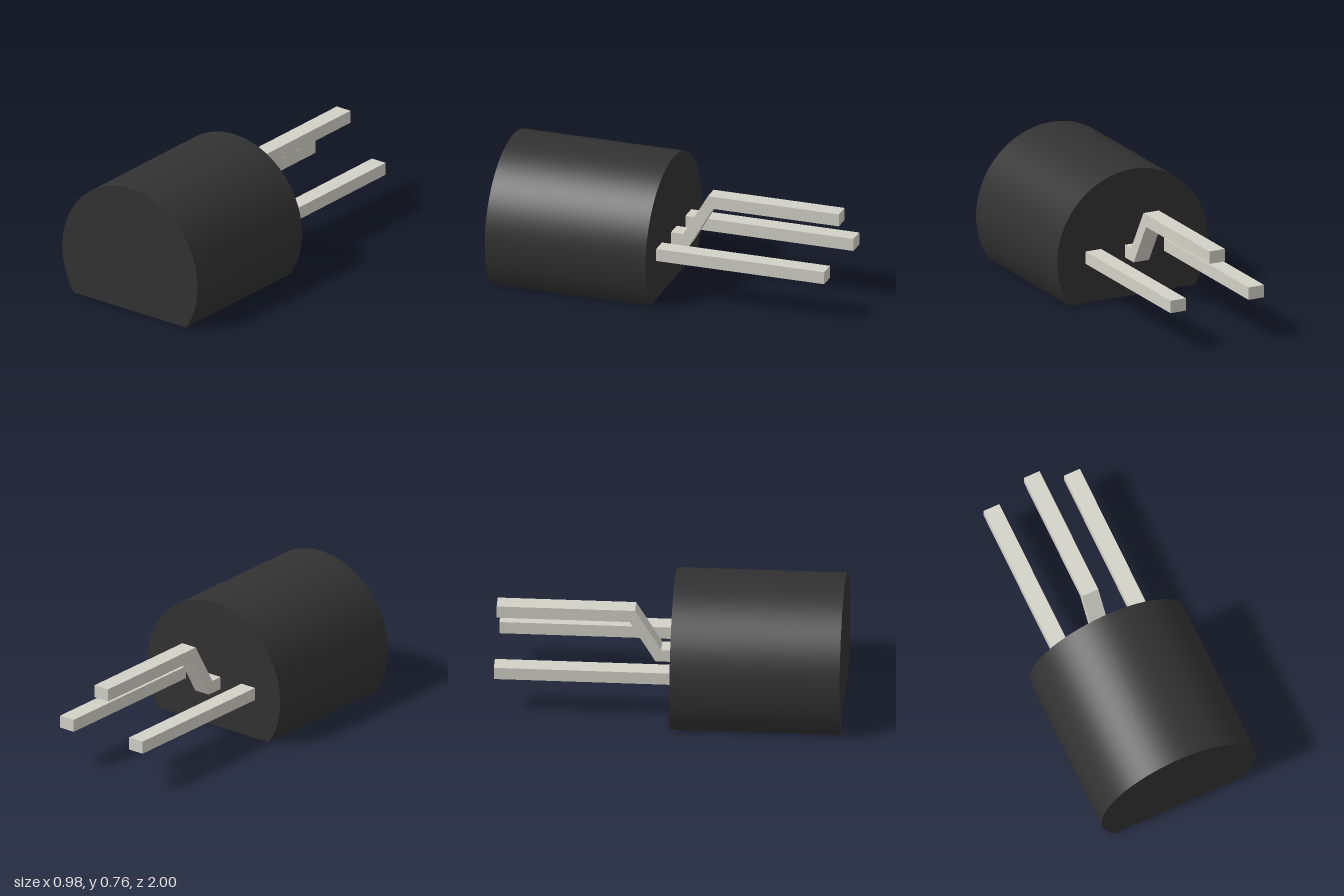
import * as THREE from 'three';

export function createModel() {
  const model = new THREE.Group();
  const plastic = new THREE.MeshStandardMaterial({ color: 0x323232 });
  plastic.name = 'black plastic';
  const metal = new THREE.MeshStandardMaterial({ color: 0xd2d1c7 });
  metal.name = 'lead metal';

  const add = (name, geometry, material) => {
    const mesh = new THREE.Mesh(geometry, material);
    mesh.name = name;
    model.add(mesh);
    return mesh;
  };

  // Body: a cylinder with a flat cut along its underside
  const radius = 0.491, centreY = 0.272, back = 0.022;
  const cut = Math.asin(centreY / radius);
  const outline = new THREE.Shape();
  outline.absarc(0, centreY, radius, -cut, Math.PI + cut, false);
  outline.closePath();
  const body = add('body', new THREE.ExtrudeGeometry(outline, {
    depth: 1 - back, bevelEnabled: false, curveSegments: 64,
  }), plastic);
  body.position.z = back;

  // Smooth the curved wall with radial normals, leaving the flat and caps sharp
  const { position, normal } = body.geometry.attributes;
  for (let i = 0; i < position.count; i++) {
    if (Math.abs(normal.getZ(i)) > 0.5 || normal.getY(i) < -0.95) continue;
    normal.setXYZ(i, position.getX(i) / radius, (position.getY(i) - centreY) / radius, 0);
  }

  // Straight outer leads
  const width = 0.1, bottom = 0.237, top = 0.312;
  for (const [name, side] of [['leftLead', 1], ['rightLead', -1]]) {
    const lead = add(name, new THREE.BoxGeometry(width, top - bottom, 1 + back), metal);
    lead.position.set(side * 0.255, (top + bottom) / 2, (back - 1) / 2);
  }

  // Middle lead: cranked side profile, drawn as (distance behind centre, height)
  const profile = new THREE.Shape([
    [-back, bottom], [0.086, bottom], [0.235, 0.495], [1, 0.495],
    [1, 0.57], [0.203, 0.57], [0.053, top], [-back, top],
  ].map(([d, y]) => new THREE.Vector2(d, y)));
  const crank = new THREE.ExtrudeGeometry(profile, { depth: width, bevelEnabled: false });
  crank.translate(0, 0, -width / 2).rotateY(Math.PI / 2);
  add('middleLead', crank, metal);

  return model;
}
